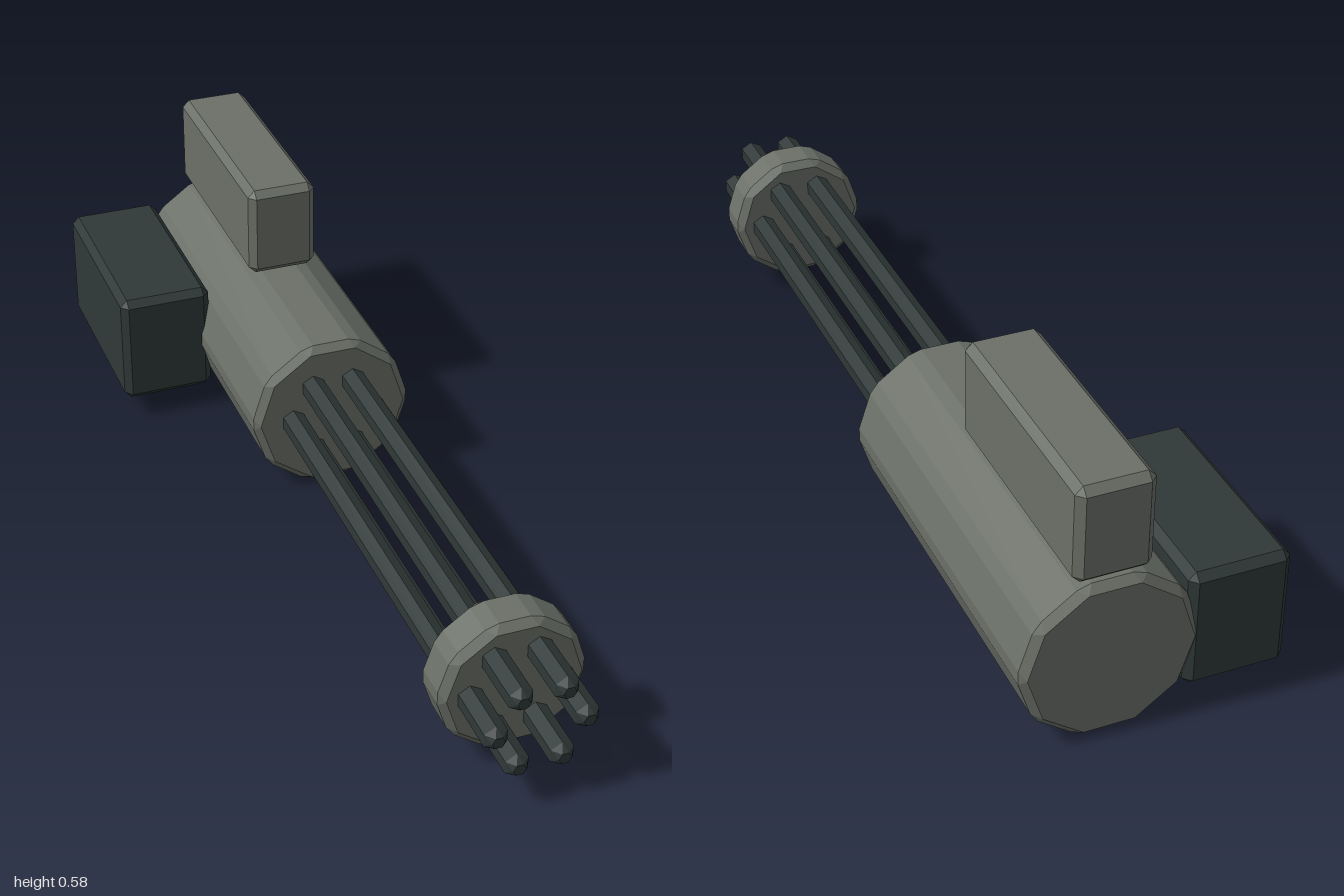
import * as THREE from 'three';

const BEVEL = 0.016;
const CX = 0.094, CY = 0.178; // axis of the rotary assembly

// Corners of a regular polygon, counter-clockwise, first corner on +x
function polygon(sides, radius, x, y) {
  return Array.from({ length: sides }, (_, i) => {
    const a = (i / sides) * Math.PI * 2;
    return new THREE.Vector2(x + Math.cos(a) * radius, y + Math.sin(a) * radius);
  });
}

function rectangle(x0, x1, y0, y1) {
  return [[x0, y0], [x1, y0], [x1, y1], [x0, y1]].map(p => new THREE.Vector2(...p));
}

// Prism along z with every edge and corner chamfered
function beveledPrism(points, z0, z1) {
  const n = points.length, cap = [], ring = [], out = [];
  points.forEach((p, i) => {
    const u = p.clone().sub(points[(i + n - 1) % n]).normalize();
    const v = points[(i + 1) % n].clone().sub(p).normalize();
    ring.push(p.clone().addScaledVector(u, -BEVEL), p.clone().addScaledVector(v, BEVEL));
    cap.push(p.clone().addScaledVector(v.clone().sub(u), BEVEL / Math.abs(u.cross(v))));
  });
  const at = (p, z) => new THREE.Vector3(p.x, p.y, z);
  const tri = (a, b, c) => {
    if (new THREE.Triangle(a, b, c).getArea() < 1e-8) return;
    for (const p of [a, b, c]) out.push(p.x, p.y, p.z);
  };
  const quad = (a, b, c, d) => { tri(a, b, c); tri(a, c, d); };

  // End caps with their sloped rims and corner facets
  for (const [zc, zr, front] of [[z1, z1 - BEVEL, true], [z0, z0 + BEVEL, false]]) {
    const face = (...p) => {
      if (!front) p.reverse();
      if (p.length === 3) tri(...p); else quad(...p);
    };
    for (let i = 0; i < n; i++) {
      const j = (i + 1) % n;
      const c = at(cap[i], zc), d = at(cap[j], zc);
      const a = at(ring[2 * i], zr), b = at(ring[2 * i + 1], zr), e = at(ring[2 * j], zr);
      if (i > 0 && j > 0) face(at(cap[0], zc), c, d);
      face(c, b, e, d);
      face(c, a, b);
    }
  }
  // Long sides
  for (let i = 0; i < 2 * n; i++) {
    const p = ring[i], q = ring[(i + 1) % (2 * n)];
    quad(at(p, z0 + BEVEL), at(q, z0 + BEVEL), at(q, z1 - BEVEL), at(p, z1 - BEVEL));
  }
  const geometry = new THREE.BufferGeometry();
  geometry.setAttribute('position', new THREE.Float32BufferAttribute(out, 3));
  geometry.computeVertexNormals();
  return geometry;
}

export function createModel() {
  const model = new THREE.Group();
  model.name = 'rotaryGun';
  const grey = new THREE.MeshStandardMaterial({ name: 'grey metal', color: 0x6b7068 });
  const dark = new THREE.MeshStandardMaterial({ name: 'dark metal', color: 0x2f3938 });

  const add = (name, material, points, z0, z1) => {
    const mesh = new THREE.Mesh(beveledPrism(points, z0, z1), material);
    mesh.name = name;
    model.add(mesh);
  };

  add('body', grey, polygon(10, 0.187, CX, CY), -1, -0.137);
  add('barrelClamp', grey, polygon(10, 0.158, CX, CY), 0.758, 0.862);
  add('topHousing', grey, rectangle(0.016, 0.175, 0.366, 0.578), -1, -0.47);
  add('ammoBox', dark, rectangle(-0.278, -0.065, 0.046, 0.312), -0.995, -0.535);

  // Six barrels around the axis
  polygon(6, 0.0935, CX, CY).forEach((c, i) =>
    add(`barrel${i + 1}`, dark, polygon(6, 0.032, c.x, c.y), -0.2, 1));

  return model;
}
